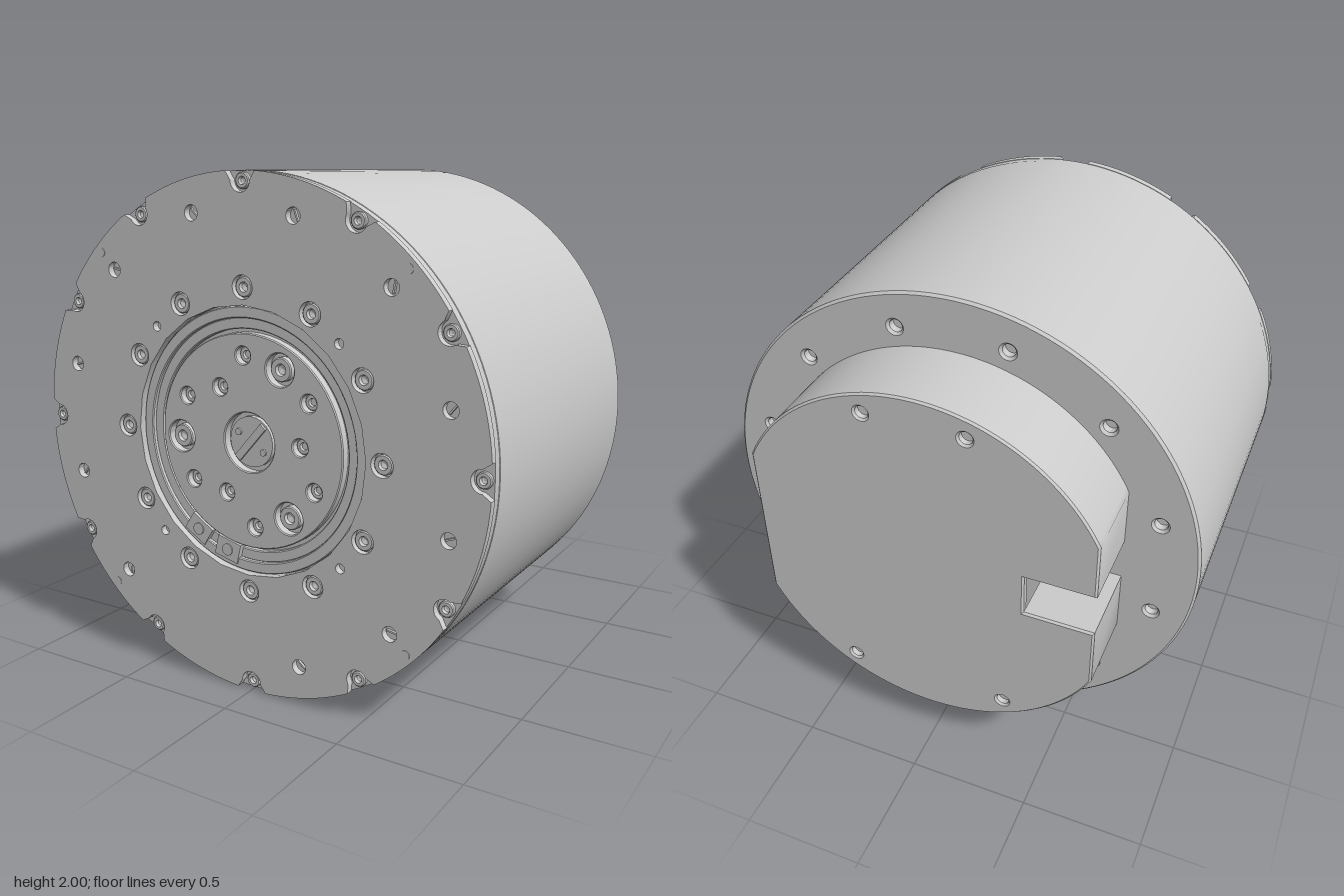
import * as THREE from 'three';
import { toCreasedNormals } from 'three/addons/utils/BufferGeometryUtils.js';

const grey = new THREE.MeshStandardMaterial({ color: 0xcccccc });
const rad = THREE.MathUtils.degToRad;
const polar = (r, deg) => [r * Math.cos(rad(deg)), r * Math.sin(rad(deg))];
const range = (n, f) => Array.from({ length: n }, (_, i) => f(i));

export function createModel() {
  const motor = new THREE.Group();
  motor.name = 'motor';
  motor.position.y = 1; // local origin lies on the motor axis

  function add(name, geometry, x = 0, y = 0, z = 0) {
    const mesh = new THREE.Mesh(geometry, grey);
    mesh.name = name;
    mesh.position.set(x, y, z);
    motor.add(mesh);
    return mesh;
  }
  const box = (name, x0, x1, y0, y1, z0, z1) =>
    add(name, new THREE.BoxGeometry(x1 - x0, y1 - y0, z1 - z0), (x0 + x1) / 2, (y0 + y1) / 2, (z0 + z1) / 2);

  // Round part along z
  function disc(name, [x, y], r, z0, z1, r1 = r) {
    const g = new THREE.CylinderGeometry(r1, r, z1 - z0, 24).rotateX(Math.PI / 2);
    return add(name, g, x, y, (z0 + z1) / 2);
  }
  function circle(r, [x, y] = [0, 0]) {
    const p = new THREE.Shape();
    p.absarc(x, y, r, 0, Math.PI * 2);
    return p;
  }
  // Plate extruded along z from z0 to z1
  function plate(name, shape, z0, z1, bevel = 0, curveSegments = 12) {
    const g = new THREE.ExtrudeGeometry(shape, {
      depth: z1 - z0 - 2 * bevel, curveSegments, bevelEnabled: bevel > 0,
      bevelSize: bevel, bevelThickness: bevel, bevelOffset: -bevel, bevelSegments: 1,
    });
    g.translate(0, 0, z0 + bevel);
    return add(name, toCreasedNormals(g, rad(32)));
  }
  // Screw with a conical socket, its head at height z
  function screw(name, at, r, z0, z1) {
    const p = [[r, z0], [r, z1 - 0.004], [r - 0.004, z1], [r * 0.5, z1], [r * 0.4, z1 - 0.012], [0, z1 - 0.02]];
    const g = new THREE.LatheGeometry(p.map(([a, b]) => new THREE.Vector2(a, b)), 20).rotateX(Math.PI / 2);
    return add(name, toCreasedNormals(g, rad(30)), at[0], at[1], 0);
  }

  // Main housing with a flat for the cable cover
  const coverAngle = 255, half = rad(11);
  const housing = new THREE.Shape();
  housing.absarc(0, 0, 1, rad(coverAngle) + half, rad(coverAngle) - half + Math.PI * 2);
  housing.closePath();
  const spread = range(12, i => 15 + 30 * i).filter(a => a !== coverAngle);
  for (const a of spread) {
    housing.holes.push(circle(0.026, polar(0.86, a)));
    disc('rearHoleFloor', polar(0.86, a), 0.03, -0.46, -0.44);
  }
  plate('housing', housing, -0.5, 0.775, 0.01, 64);

  // Cable cover on the flat, with its screws
  const cover = new THREE.Group();
  cover.name = 'cableCover';
  cover.rotation.z = rad(coverAngle - 270);
  motor.add(cover);
  const panel = new THREE.Mesh(new THREE.BoxGeometry(0.25, 0.012, 1.0), grey);
  panel.name = 'coverPanel';
  panel.position.set(0, -0.98, 0.14);
  cover.add(panel);
  for (const x of [-0.15, 0.15]) {
    for (const z of [-0.25, 0.5]) {
      const s = new THREE.Mesh(new THREE.CylinderGeometry(0.022, 0.022, 0.012, 20), grey);
      s.name = 'coverScrew';
      s.position.set(x, -0.98, z);
      cover.add(s);
    }
    const e = new THREE.Mesh(new THREE.TorusGeometry(0.025, 0.008, 8, 24), grey);
    e.name = 'coverEndScrew';
    e.position.set(x, -0.87, -0.5);
    cover.add(e);
  }

  // Front flange: plain base and a notched, drilled face
  const base = circle(0.998);
  base.holes.push(circle(0.52));
  plate('flangeBase', base, 0.765, 0.802, 0, 64);

  const face = new THREE.Shape();
  for (let i = 0; i < 12; i++) {
    const a = rad(30 * i), next = rad(30 * (i + 1)), w = 0.065;
    const [cx, cy] = polar(0.965, 30 * i);
    face.absarc(cx, cy, 0.043, a - Math.PI / 2, a + Math.PI / 2, true);
    face.absarc(0, 0, 1, a + w, next - w, false);
  }
  face.closePath();
  face.holes.push(circle(0.52));
  for (let i = 0; i < 12; i++) {
    face.holes.push(circle(0.045, polar(0.585, 30 * i)));
    screw('innerFlangeScrew', polar(0.585, 30 * i), 0.038, 0.795, 0.822);
    screw('rimScrew', polar(0.963, 30 * i), 0.03, 0.795, 0.818);
  }
  for (const a of spread) {
    face.holes.push(circle(0.03, polar(0.875, a)));
    const slot = add('setScrewSlot', new THREE.BoxGeometry(0.045, 0.007, 0.012), ...polar(0.875, a), 0.806);
    slot.rotation.z = rad(a + 35);
  }
  for (const a of [45, 135, 225, 315]) {
    face.holes.push(circle(0.019, polar(0.583, a)));
    disc('dowelPin', polar(0.966, a), 0.018, 0.8, 0.832);
  }
  plate('flangeFace', face, 0.8, 0.83, 0, 12);

  // Stepped seal ring around the output
  for (const [outer, inner, z] of [[0.514, 0.47, 0.81], [0.472, 0.428, 0.795]]) {
    const ring = circle(outer);
    ring.holes.push(circle(inner));
    plate('sealRing', ring, 0.765, z, 0.004, 48);
  }
  for (const [x, y] of [[-0.25, -0.38], [-0.11, -0.44]]) {
    const tab = add('sealTab', new THREE.BoxGeometry(0.11, 0.08, 0.04), x, y, 0.796);
    tab.rotation.z = Math.atan2(y, x) + Math.PI / 2;
    disc('sealTabScrew', [x, y], 0.024, 0.8, 0.821);
  }

  // Output disc with threaded holes and three large bolts
  const output = circle(0.415);
  const threaded = [[-0.02, 0.33], [0.27, 0.18], [0.23, 0.01], [0.29, -0.15], [0.02, -0.33],
    [-0.11, -0.21], [-0.27, -0.18], [-0.29, 0.15], [-0.13, 0.2]];
  for (const p of threaded) {
    output.holes.push(circle(0.033, p));
    screw('threadedHoleFloor', p, 0.032, 0.765, 0.785);
  }
  for (const p of [[0.145, 0.29], [-0.325, -0.015], [0.175, -0.27]]) {
    output.holes.push(circle(0.062, p));
    screw('outputBolt', p, 0.046, 0.765, 0.803);
  }
  output.holes.push(circle(0.115));
  plate('outputDisc', output, 0.765, 0.81, 0.004, 32);

  // Centre hub with a diagonal bar
  disc('hub', [0, 0], 0.098, 0.765, 0.795);
  const bar = add('hubBar', new THREE.BoxGeometry(0.18, 0.03, 0.02), 0, 0, 0.795);
  bar.rotation.z = rad(48);
  for (const s of [-1, 1]) disc('hubPin', [s * 0.056, -s * 0.034], 0.013, 0.79, 0.802);

  // Rear cap: two walls with a channel between, closed by a notched plate
  const R = 0.78, side = 0.7, a = Math.acos(side / R), notchX = -0.42;
  for (const [name, s, channel, notch] of [['upperCapWall', 1, 0.31, 0.1], ['lowerCapWall', -1, 0.3, 0.08]]) {
    const wall = new THREE.Shape();
    wall.moveTo(side, s * channel);
    wall.absarc(0, 0, R, s * a, s * (Math.PI - a), s < 0);
    wall.lineTo(-side, s * notch);
    wall.lineTo(notchX, s * notch);
    wall.lineTo(notchX, s * channel);
    wall.closePath();
    plate(name, wall, -0.8, -0.495, 0, 32);
  }
  const back = new THREE.Shape();
  back.absarc(0, 0, R, a, Math.PI - a);
  back.lineTo(-side, 0.1);
  back.lineTo(notchX, 0.1);
  back.lineTo(notchX, -0.08);
  back.lineTo(-side, -0.08);
  back.absarc(0, 0, R, Math.PI + a, 2 * Math.PI - a);
  back.closePath();
  for (const x of [-1, 1]) {
    back.holes.push(circle(0.026, [x * 0.2, 0.67]), circle(0.026, [x * 0.335, -0.62]));
  }
  plate('capBackPlate', back, -0.83, -0.79, 0.008, 32);

  // Electronics inside the channel
  box('circuitBoard', notchX, 0.66, -0.3, 0.31, -0.61, -0.49);
  box('upperLedge', notchX, side, 0.23, 0.31, -0.8, -0.73);
  box('lowerLedge', notchX, side, -0.3, -0.26, -0.8, -0.73);
  box('upperConnector', 0.45, 0.62, 0.11, 0.23, -0.8, -0.72);
  box('lowerConnector', 0.45, 0.62, -0.25, -0.09, -0.8, -0.72);
  for (const y of [0.27, 0.2, 0.13, -0.1, -0.16]) box('pinHeader', 0.45, 0.6, y - 0.022, y + 0.022, -0.68, -0.6);
  for (const y of [0.17, -0.14]) box('connectorStem', 0.48, 0.58, y - 0.03, y + 0.03, -0.73, -0.6);
  const capacitor = new THREE.CylinderGeometry(0.05, 0.05, 0.2, 24).rotateZ(Math.PI / 2);
  add('capacitor', capacitor, 0.5, 0, -0.655);

  return motor;
}
